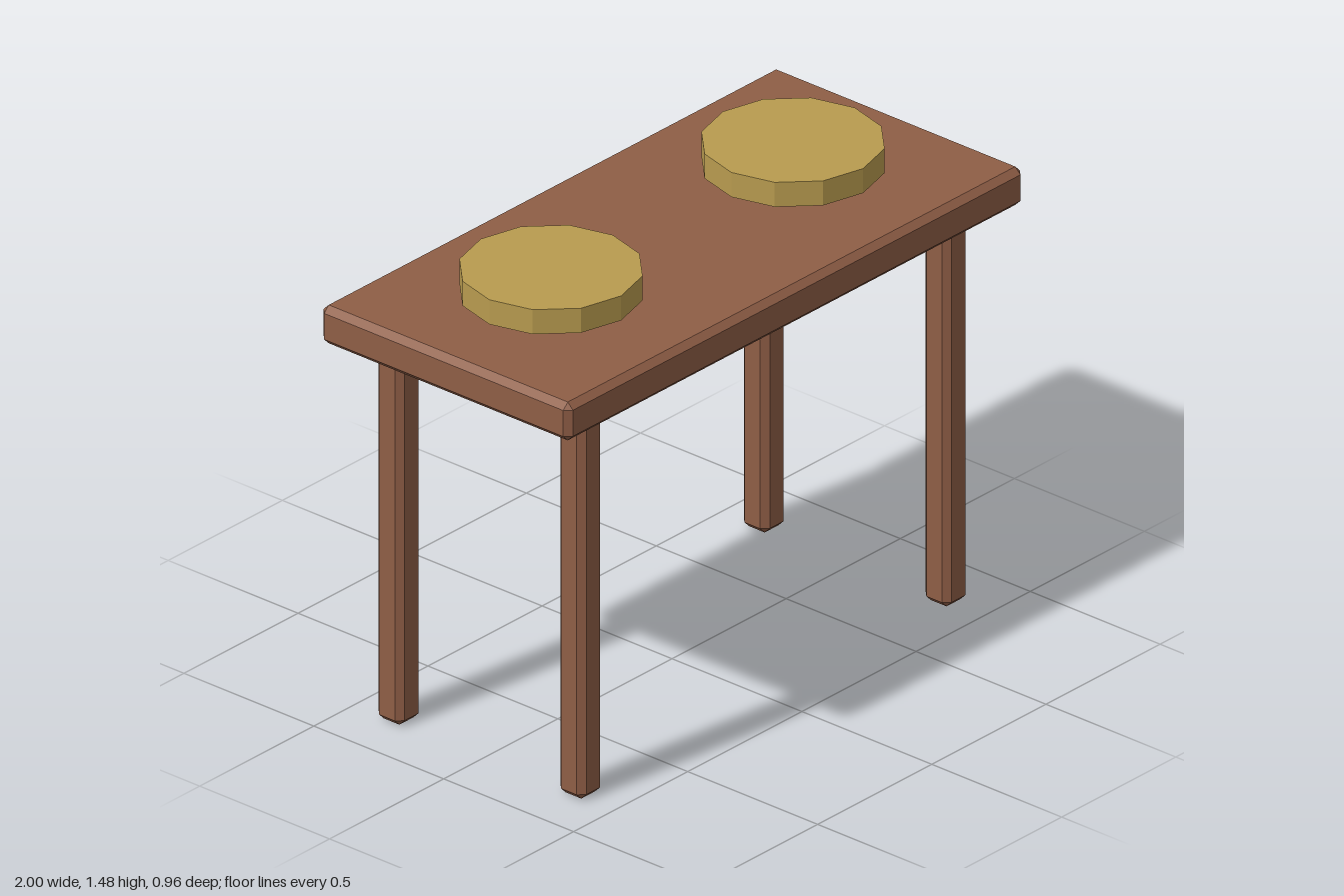
import * as THREE from 'three';
import { ConvexGeometry } from 'three/addons/geometries/ConvexGeometry.js';

// Box with all edges cut at 45 degrees
function chamferedBox(w, h, d, c) {
  const points = [];
  for (const x of [-w / 2, w / 2])
    for (const y of [-h / 2, h / 2])
      for (const z of [-d / 2, d / 2]) {
        const cx = x - Math.sign(x) * c, cy = y - Math.sign(y) * c, cz = z - Math.sign(z) * c;
        points.push(
          new THREE.Vector3(x, cy, cz),
          new THREE.Vector3(cx, y, cz),
          new THREE.Vector3(cx, cy, z));
      }
  return new ConvexGeometry(points);
}

export function createModel() {
  const group = new THREE.Group();
  const wood = new THREE.MeshStandardMaterial({ color: 0x8f5e46 });
  wood.name = 'brown wood';
  const straw = new THREE.MeshStandardMaterial({ color: 0xb89b4f });
  straw.name = 'straw yellow';

  function add(name, geometry, material, x, y, z) {
    const mesh = new THREE.Mesh(geometry, material);
    mesh.name = name;
    mesh.position.set(x, y, z);
    group.add(mesh);
  }

  // Table top
  add('tableTop', chamferedBox(2, 0.125, 0.96, 0.02), wood, 0, 1.317, 0);

  const legGeometry = chamferedBox(0.1, 1.275, 0.1, 0.02);
  // Twelve-sided place mats, hovering slightly above the top
  const matGeometry = new THREE.CylinderGeometry(0.27, 0.27, 0.08, 12).toNonIndexed();
  matGeometry.computeVertexNormals();

  for (const side of [-1, 1]) {
    const sideName = side > 0 ? 'Left' : 'Right';
    add('mat' + sideName, matGeometry, straw, side * 0.53, 1.444, 0);
    // Legs reach slightly into the top
    for (const end of [-1, 1])
      add((end > 0 ? 'frontLeg' : 'backLeg') + sideName, legGeometry, wood, side * 0.8, 0.6375, end * 0.35);
  }
  return group;
}
